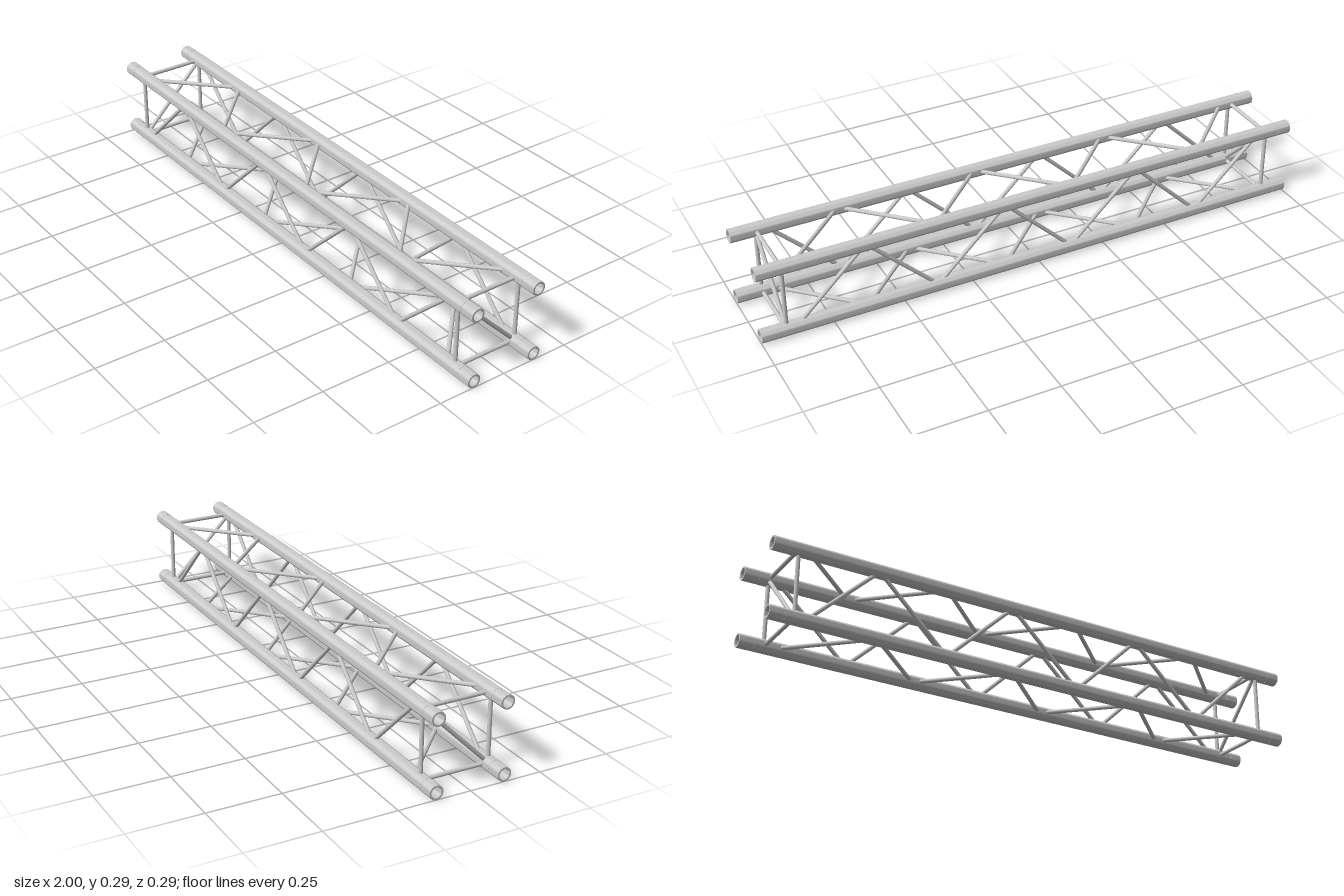
import * as THREE from 'three';
import { toCreasedNormals } from 'three/addons/utils/BufferGeometryUtils.js';

const material = new THREE.MeshStandardMaterial({ color: 0xcccccc });
const UP = new THREE.Vector3(0, 1, 0);
const R = 0.024;          // main tube radius
const BRACE_R = 0.007;    // lacing radius
const HALF = 0.12;        // half spacing between tube axes
const MID = R + HALF;     // height of the truss axis
const END_X = 0.91;       // position of the end frames
const PITCH = 0.25, BAYS = 7;

// Main tube with a recessed socket and a fine sleeve seam at both ends
function tubeGeometry() {
  const half = [[0, 0.95], [0.0155, 0.95], [0.018, 1], [R, 1],
    [R, 0.951], [R - 0.0006, 0.951], [R - 0.0006, 0.948], [R, 0.948]];
  const lower = half.map(([r, y]) => new THREE.Vector2(r, -y));
  const upper = half.map(([r, y]) => new THREE.Vector2(r, y)).reverse();
  const lathe = new THREE.LatheGeometry([...lower, ...upper], 32);
  return toCreasedNormals(lathe, 0.6).rotateZ(-Math.PI / 2);
}

// Round bar between two points
function bar(name, a, b) {
  const dir = b.clone().sub(a);
  const geometry = new THREE.CylinderGeometry(BRACE_R, BRACE_R, dir.length(), 16);
  const mesh = new THREE.Mesh(geometry, material);
  mesh.name = name;
  mesh.position.copy(a).add(b).multiplyScalar(0.5);
  mesh.quaternion.setFromUnitVectors(UP, dir.normalize());
  return mesh;
}

// Point on a main tube axis; sy and sz pick the corner
const node = (x, [sy, sz]) => new THREE.Vector3(x, MID + sy * HALF, sz * HALF);

export function createModel() {
  const model = new THREE.Group();
  model.name = 'boxTruss';

  // Corners in order around the square section
  const corners = [[-1, 1], [1, 1], [1, -1], [-1, -1]];

  // Four main tubes
  const tube = tubeGeometry();
  for (const c of corners) {
    const mesh = new THREE.Mesh(tube, material);
    mesh.name = 'mainTube';
    mesh.position.copy(node(0, c));
    model.add(mesh);
  }

  // Zigzag lacing; each corner is touched at even nodes by one face, odd by the next
  const faces = ['frontLacing', 'topLacing', 'backLacing', 'bottomLacing'];
  const firstCorner = [[0, 1], [1, 2], [2, 3], [3, 0]];
  faces.forEach((name, f) => {
    const lacing = new THREE.Group();
    lacing.name = name;
    for (let k = 0; k < BAYS; k++) {
      const x = (k - BAYS / 2) * PITCH;
      const a = corners[firstCorner[f][k % 2]];
      const b = corners[firstCorner[f][(k + 1) % 2]];
      lacing.add(bar('diagonalBrace', node(x, a), node(x + PITCH, b)));
    }
    model.add(lacing);
  });

  // End frames: a square of bars and one diagonal, crossed between the two ends
  for (const side of [-1, 1]) {
    const frame = new THREE.Group();
    frame.name = side < 0 ? 'rightEndFrame' : 'leftEndFrame';
    const x = side * END_X;
    corners.forEach((c, i) => {
      frame.add(bar('frameBar', node(x, c), node(x, corners[(i + 1) % 4])));
    });
    frame.add(bar('frameDiagonal', node(x, [side, 1]), node(x, [-side, -1])));
    model.add(frame);
  }

  return model;
}
